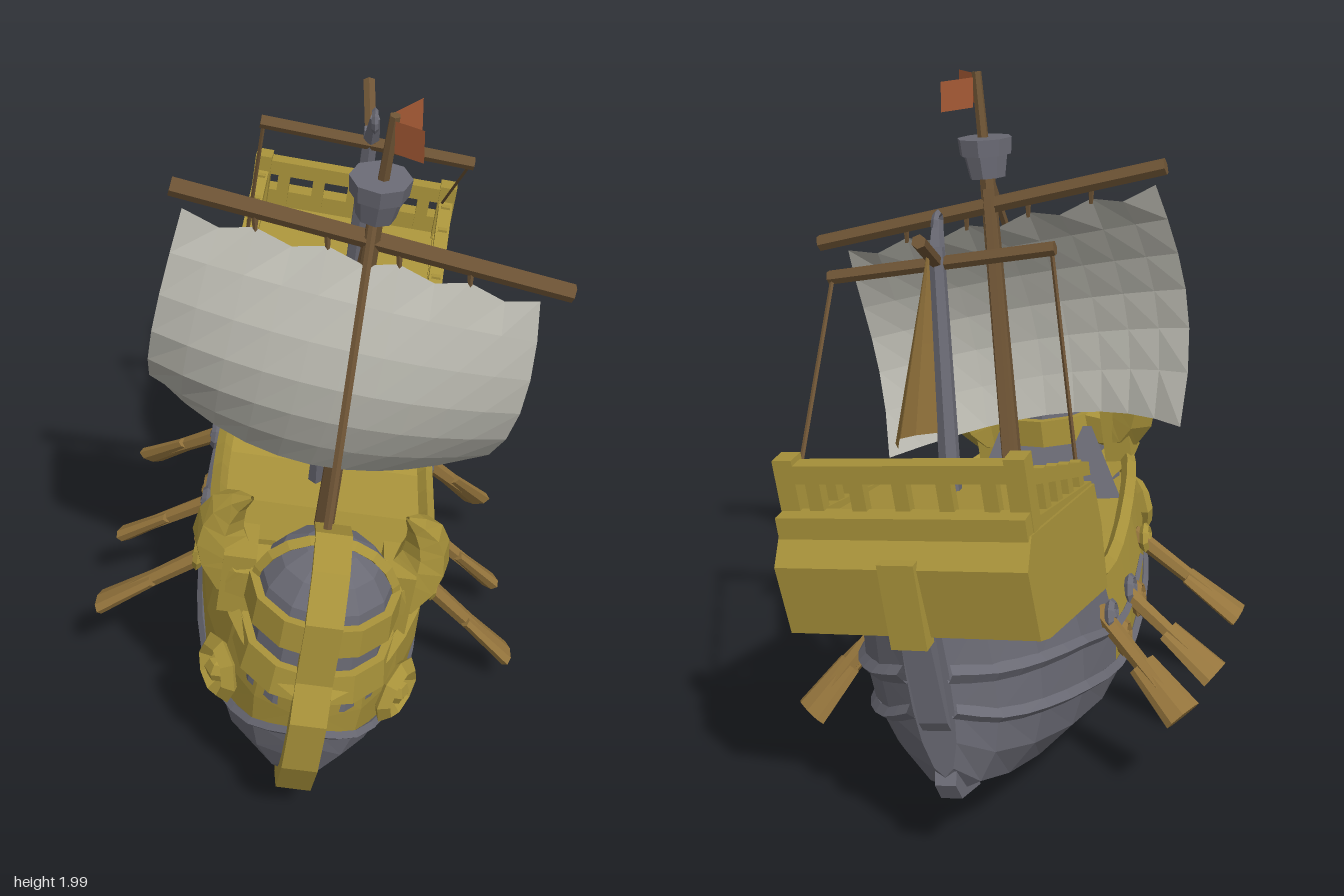
import * as THREE from 'three';

const mat = (color) => new THREE.MeshStandardMaterial({ color, flatShading: true, side: THREE.DoubleSide });
const GOLD = mat(0xa8923a), GREY = mat(0x6a6a74), WOOD = mat(0x6e5435);
const CANVAS = mat(0xb4b3aa), TAN = mat(0x94743c), RED = mat(0xa55a35);
const V = (x, y, z) => new THREE.Vector3(x, y, z);
const UP = V(0, 1, 0);

function add(parent, name, geo, material) {
  const m = new THREE.Mesh(geo, material);
  m.name = name;
  parent.add(m);
  return m;
}

function addGroup(parent, name) {
  const g = new THREE.Group();
  g.name = name;
  parent.add(g);
  return g;
}

// Straight tapered spar from a to b
function beam(parent, name, a, b, r0, r1, material, sides = 6) {
  const d = b.clone().sub(a);
  const m = add(parent, name, new THREE.CylinderGeometry(r1, r0, d.length(), sides), material);
  m.position.copy(a).add(b).multiplyScalar(0.5);
  m.quaternion.setFromUnitVectors(UP, d.normalize());
  return m;
}

function box(parent, name, w, h, d, x, y, z, material) {
  add(parent, name, new THREE.BoxGeometry(w, h, d), material).position.set(x, y, z);
}

// Surface made of (nu + 1) x (nv + 1) points given by f(i, j)
function grid(nu, nv, f) {
  const pos = [], idx = [];
  for (let j = 0; j <= nv; j++) for (let i = 0; i <= nu; i++) pos.push(...f(i, j));
  for (let j = 0; j < nv; j++) for (let i = 0; i < nu; i++) {
    const a = j * (nu + 1) + i, b = a + nu + 1;
    idx.push(a, a + 1, b, a + 1, b + 1, b);
  }
  const g = new THREE.BufferGeometry();
  g.setAttribute('position', new THREE.Float32BufferAttribute(pos, 3));
  g.setIndex(idx);
  g.computeVertexNormals();
  return g;
}

// Tube along a list of points with a radius at each one
function taperTube(pts, radii, sides = 6) {
  const curve = new THREE.CatmullRomCurve3(pts), n = (pts.length - 1) * 2;
  const fr = curve.computeFrenetFrames(n);
  return grid(sides, n, (i, j) => {
    const t = j / n, k = t * (radii.length - 1), k0 = Math.min(Math.floor(k), radii.length - 2);
    const r = THREE.MathUtils.lerp(radii[k0], radii[k0 + 1], k - k0), a = i / sides * Math.PI * 2;
    return curve.getPoint(t).addScaledVector(fr.normals[j], r * Math.cos(a))
      .addScaledVector(fr.binormals[j], r * Math.sin(a)).toArray();
  });
}

// Side profile of [z, y] points, extruded across x
function sideExtrude(pts, width) {
  const shape = new THREE.Shape(pts.map((p) => new THREE.Vector2(p[0], p[1])));
  return new THREE.ExtrudeGeometry(shape, { depth: width, bevelEnabled: false })
    .rotateY(-Math.PI / 2).translate(width / 2, 0, 0);
}

// Hull stations: z, half width, keel height, rail height
const ST = [[0.93, 0.04, 0.29, 0.56], [0.85, 0.15, 0.16, 0.58], [0.7, 0.245, 0.06, 0.6], [0.5, 0.31, 0.005, 0.62],
  [0.25, 0.345, -0.008, 0.6], [0, 0.355, -0.003, 0.565], [-0.22, 0.35, 0.03, 0.58], [-0.5, 0.32, 0.1, 0.7],
  [-0.7, 0.25, 0.17, 0.75], [-0.83, 0.16, 0.23, 0.78], [-0.9, 0.06, 0.32, 0.79]];
const SECTION = [[0, 0], [0.45, 0.06], [0.8, 0.23], [0.96, 0.44], [1, 0.68], [0.94, 1]];

function hullPoint(u, s, grow = 1) {
  const [z, w, k, t] = ST[s], [px, py] = SECTION[Math.abs(u)];
  return [Math.sign(u) * w * px * grow, k + (t - k) * py, z];
}

function buildHull(ship) {
  const last = ST.length - 1;
  add(ship, 'lowerHull', grid(6, last, (i, j) => hullPoint(i - 3, j)), GREY);
  const end = Array.from({ length: 11 }, (_, i) => hullPoint(i - 5, last));
  add(ship, 'transom', new THREE.ShapeGeometry(new THREE.Shape(end.map((p) => new THREE.Vector2(p[0], p[1]))))
    .translate(0, 0, ST[last][0]), GREY);
  add(ship, 'deck', grid(2, last, (i, j) => [(i - 1) * ST[j][1] * 0.93, ST[j][3] - 0.11, ST[j][0]]), GOLD);
  for (const s of [-1, 1]) {
    add(ship, 'bulwark', grid(2, 6, (i, j) => hullPoint(s * (i + 3), j)), GOLD);
    add(ship, 'sternPlanking', grid(2, last - 6, (i, j) => hullPoint(s * (i + 3), j + 6)), GREY);
    const line = (row, from, grow) => ST.slice(from).map((_, j) => V(...hullPoint(s * row, j + from, grow)));
    add(ship, 'gunwale', taperTube(line(5, 0, 0.98), [0.025, 0.025], 4), GOLD);
    add(ship, 'lowerWale', taperTube(line(3, 0, 1), [0.014, 0.022], 4), GREY);
    add(ship, 'upperWale', taperTube(line(4, 4, 1), [0.01, 0.028], 4), GREY);
  }
  // Stem band over the keel, bow and helmet
  add(ship, 'bowPost', sideExtrude([[0.55, 0.78], [0.61, 0.89], [0.72, 0.945], [0.84, 0.91], [0.93, 0.8], [0.94, 0.6],
    [0.995, 0.5], [0.985, 0.32], [0.9, 0.15], [0.75, 0.05], [0.5, 0], [0.25, -0.012], [0.25, 0.03], [0.5, 0.05],
    [0.75, 0.13], [0.86, 0.25], [0.9, 0.4], [0.87, 0.6], [0.86, 0.78], [0.72, 0.87], [0.6, 0.76]], 0.1), GOLD);
  add(ship, 'rudder', sideExtrude([[-0.72, 0.18], [-0.88, 0.24], [-0.91, 0.3], [-0.86, 0.38], [-0.8, 0.4]], 0.06), GREY);
  add(ship, 'sternPost', sideExtrude([[-0.84, 0.36], [-0.92, 0.5], [-0.95, 0.78], [-0.86, 0.78]], 0.08), GREY);
}

function buildFigurehead(ship) {
  const head = addGroup(ship, 'helmetFigurehead');
  head.position.z = 0.72;
  const ring = (name, r0, r1, h, y, m) => {
    add(head, name, new THREE.CylinderGeometry(r1, r0, h, 12), m).position.y = y;
  };
  ring('helmetFace', 0.2, 0.185, 0.26, 0.6, GREY);
  ring('browBand', 0.215, 0.21, 0.09, 0.735, GOLD);
  ring('cheekBand', 0.23, 0.215, 0.09, 0.575, GOLD);
  const dome = add(head, 'helmetDome', new THREE.SphereGeometry(0.195, 12, 4, 0, Math.PI * 2, 0, Math.PI / 2), GREY);
  dome.position.y = 0.74;
  dome.scale.y = 0.92;
  const strap = add(head, 'helmetStrap', new THREE.TorusGeometry(0.19, 0.02, 4, 10, Math.PI), GOLD);
  strap.position.y = 0.74;
  strap.scale.y = 0.95;
  add(ship, 'helmetBack', grid(1, 1, (i, j) => [(i - 0.5) * (j ? 0.32 : 0.52), j ? 0.74 : 0.53, j ? 0.56 : 0.43]), GREY);
  const horns = addGroup(ship, 'horns');
  horns.position.x = -0.02;
  for (const s of [-1, 1]) {
    const p = [[0.13, 0.73, 0.65], [0.23, 0.72, 0.63], [0.285, 0.81, 0.61], [0.27, 0.91, 0.62], [0.21, 0.99, 0.67]];
    add(horns, 'horn', taperTube(p.map((q) => V(s * q[0], q[1], q[2])), [0.09, 0.09, 0.08, 0.055, 0.006]), GOLD);
    box(horns, 'hornCollar', 0.09, 0.2, 0.15, s * 0.22, 0.71, 0.63, GOLD);
  }
}

// Round fitting facing outward from the hull side
function medallion(ship, name, p, dir, r, material) {
  const g = addGroup(ship, name);
  g.position.copy(p);
  g.quaternion.setFromUnitVectors(V(0, 0, 1), dir.normalize());
  add(g, name + 'Ring', new THREE.TorusGeometry(r * 0.75, r * 0.28, 4, 8), material);
  add(g, name + 'Boss', new THREE.SphereGeometry(r * 0.42, 6, 4), material);
}

function buildSides(ship) {
  for (const s of [-1, 1]) {
    medallion(ship, 'bowShield', V(s * 0.255, 0.39, 0.7), V(s * 0.85, 0, 0.5), 0.1, GOLD);
    for (const z of [0.08, -0.17]) medallion(ship, 'port', V(s * 0.36, 0.34, z), V(s, 0, 0), 0.06, TAN);
    // Oar from its lock to the blade tip: z, y, then tip x, y, z
    for (const [z0, y0, x1, y1, z1] of [[0.29, 0.47, 0.64, 0.18, 0.26], [-0.01, 0.44, 0.61, 0.17, -0.1],
      [-0.29, 0.5, 0.57, 0.24, -0.45]]) {
      const a = V(s * 0.32, y0, z0), b = V(s * x1, y1, z1);
      beam(ship, 'oarShaft', a, b, 0.027, 0.022, TAN);
      beam(ship, 'oarBlade', a.clone().lerp(b, 0.52), b, 0.042, 0.058, TAN, 8).scale.x = 0.45;
      medallion(ship, 'oarlock', V(s * 0.36, y0 - 0.02, z0), V(s, 0, 0), 0.05, z0 > 0 ? GOLD : GREY);
    }
  }
}

function buildCastle(ship) {
  // Set slightly askew on the hull
  const castle = addGroup(ship, 'sternCastle');
  castle.rotation.y = -0.07;
  castle.position.set(-0.07, 0, 0.01);
  add(castle, 'castleBody', sideExtrude([[-0.39, 0.63], [-0.9, 0.75], [-0.97, 0.78], [-0.99, 0.98], [-0.93, 1.05],
    [-0.39, 0.95], [-0.37, 0.82]], 0.69), GOLD);
  const low = (z) => 0.96 - (z + 0.4) * 0.23, top = (z) => 1.02 - (z + 0.4) * 0.38;
  for (const s of [-1, 1]) {
    const x = s * 0.315;
    for (const [n, f, h] of [['lowerRail', low, 0.05], ['topRail', top, 0.04]]) {
      add(castle, n, sideExtrude([[-0.39, f(-0.39) - h], [-0.39, f(-0.39)], [-0.88, f(-0.88)], [-0.88, f(-0.88) - h]], 0.045)
        .translate(x, 0, 0), GOLD);
    }
    for (let i = 0; i < 5; i++) {
      const z = -0.45 - i * 0.095;
      box(castle, 'railPost', 0.03, top(z) - low(z) + 0.02, 0.04, x, (top(z) + low(z)) / 2 - 0.01, z, GOLD);
    }
    box(castle, 'cornerPost', 0.055, 0.2, 0.06, x, 1.14, -0.87, GOLD);
  }
  box(castle, 'rearRail', 0.66, 0.05, 0.05, 0, 1.2, -0.875, GOLD);
  box(castle, 'rearLowerRail', 0.68, 0.06, 0.06, 0, 1.07, -0.915, GOLD);
  for (let i = -2; i <= 2; i++) box(castle, 'rearPost', 0.04, 0.14, 0.03, i * 0.12, 1.13, -0.885, GOLD);
  box(castle, 'rearBracket', 0.1, 0.24, 0.05, 0, 0.88, -0.98, GOLD);
}

function buildMainMast(g) {
  beam(g, 'mainMast', V(0, 0.46, 0.11), V(0.15, 1.7, 0.28), 0.035, 0.024, WOOD);
  beam(g, 'topMast', V(0.15, 1.68, 0.28), V(0.19, 1.98, 0.32), 0.018, 0.015, WOOD);
  beam(g, 'crowsNest', V(0.145, 1.67, 0.275), V(0.155, 1.75, 0.285), 0.055, 0.07, GREY, 8);
  beam(g, 'crowsNestRim', V(0.154, 1.74, 0.284), V(0.158, 1.79, 0.288), 0.08, 0.085, GREY, 8);
  for (const [z, w] of [[0.335, 0.055], [0.28, -0.09]]) {
    add(g, 'flag', grid(2, 1, (i, j) => [0.19 + i * 0.037, 1.88 + j * 0.09, z + w * i / 2]), RED);
  }
  beam(g, 'forestay', V(0.03, 0.92, 0.68), V(0.14, 1.66, 0.29), 0.012, 0.012, WOOD, 5);
  beam(g, 'backstay', V(-0.02, 0.66, -0.07), V(0.14, 1.64, 0.25), 0.022, 0.018, WOOD, 5);
  beam(g, 'backstayHook', V(-0.03, 0.5, -0.11), V(-0.02, 0.7, -0.06), 0.026, 0.016, GREY, 5);
  beam(g, 'windlass', V(-0.14, 0.6, -0.12), V(0.04, 0.58, -0.12), 0.014, 0.014, WOOD, 5);
  beam(g, 'mainYard', V(-0.4, 1.74, 0.26), V(0.69, 1.43, 0.26), 0.026, 0.026, WOOD);
  // Billowing sail with its lower corners drawn back
  const n = 10, m = 6;
  add(g, 'mainSail', grid(n, m, (i, j) => {
    const u = i / n, v = j / m, c = 2 * u - 1, belly = Math.sin(Math.PI * Math.min(1, v * 0.88));
    const xl = -0.37 - 0.13 * Math.sin(v * Math.PI / 2), xr = 0.6 - 0.16 * v * v;
    const scallop = v === 0 && i % 2 ? -0.03 : 0;
    return [xl + (xr - xl) * u, 1.68 - 0.27 * u + scallop - v * (0.68 - 0.04 * u),
      0.27 + belly * 0.17 * (1 - 0.45 * c * c) - (0.24 - 0.07 * u) * v ** 4 * c * c];
  }), CANVAS);
  for (let i = 1; i <= 4; i++) {
    const t = i / 5, x = -0.37 + 0.97 * t, y = 1.725 - 0.27 * t;
    beam(g, 'sailTie', V(x, y - 0.06, 0.27), V(x, y + 0.01, 0.265), 0.006, 0.012, WOOD, 5);
  }
}

function buildMizzen(g) {
  beam(g, 'mizzenMast', V(0.06, 0.9, -0.46), V(0.13, 1.63, -0.34), 0.032, 0.024, GREY);
  beam(g, 'mizzenYard', V(-0.2, 1.65, -0.34), V(0.44, 1.52, -0.34), 0.02, 0.02, WOOD);
  beam(g, 'mizzenGaff', V(0.13, 1.58, -0.33), V(0.12, 1.7, -0.53), 0.02, 0.02, WOOD);
  beam(g, 'mizzenCap', V(0.13, 1.6, -0.34), V(0.14, 1.69, -0.29), 0.026, 0.016, GREY, 5);
  const hook = add(g, 'mizzenHook', new THREE.TorusGeometry(0.03, 0.01, 4, 7, 4.2).rotateY(Math.PI / 2), GREY);
  hook.position.set(0.14, 1.68, -0.29);
  // Triangular sail running aft
  add(g, 'mizzenSail', grid(4, 4, (i, j) => {
    const v = j / 4, u = i / 4, z0 = -0.44 - 0.05 * v, z1 = -0.46 - 0.38 * v;
    return [0.12 - 0.03 * v + 0.05 * Math.sin(Math.PI * u) * v, 1.65 - v * (0.5 - 0.1 * u), z0 + (z1 - z0) * u];
  }), TAN);
  beam(g, 'mizzenSheet', V(0.43, 1.52, -0.34), V(0.37, 1.13, -0.82), 0.006, 0.006, WOOD, 4);
  beam(g, 'mizzenBrace', V(-0.19, 1.65, -0.34), V(-0.28, 1.08, -0.42), 0.006, 0.006, WOOD, 4);
}

export function createModel() {
  const model = new THREE.Group();
  model.name = 'sailingShip';
  // The hull heels toward its left side
  const ship = addGroup(model, 'hull');
  ship.rotation.z = -0.14;
  ship.position.set(-0.08, 0.01, 0);
  buildHull(ship);
  buildFigurehead(ship);
  buildSides(ship);
  buildCastle(ship);
  const rig = addGroup(model, 'rigging');
  buildMainMast(rig);
  buildMizzen(rig);
  return model;
}
